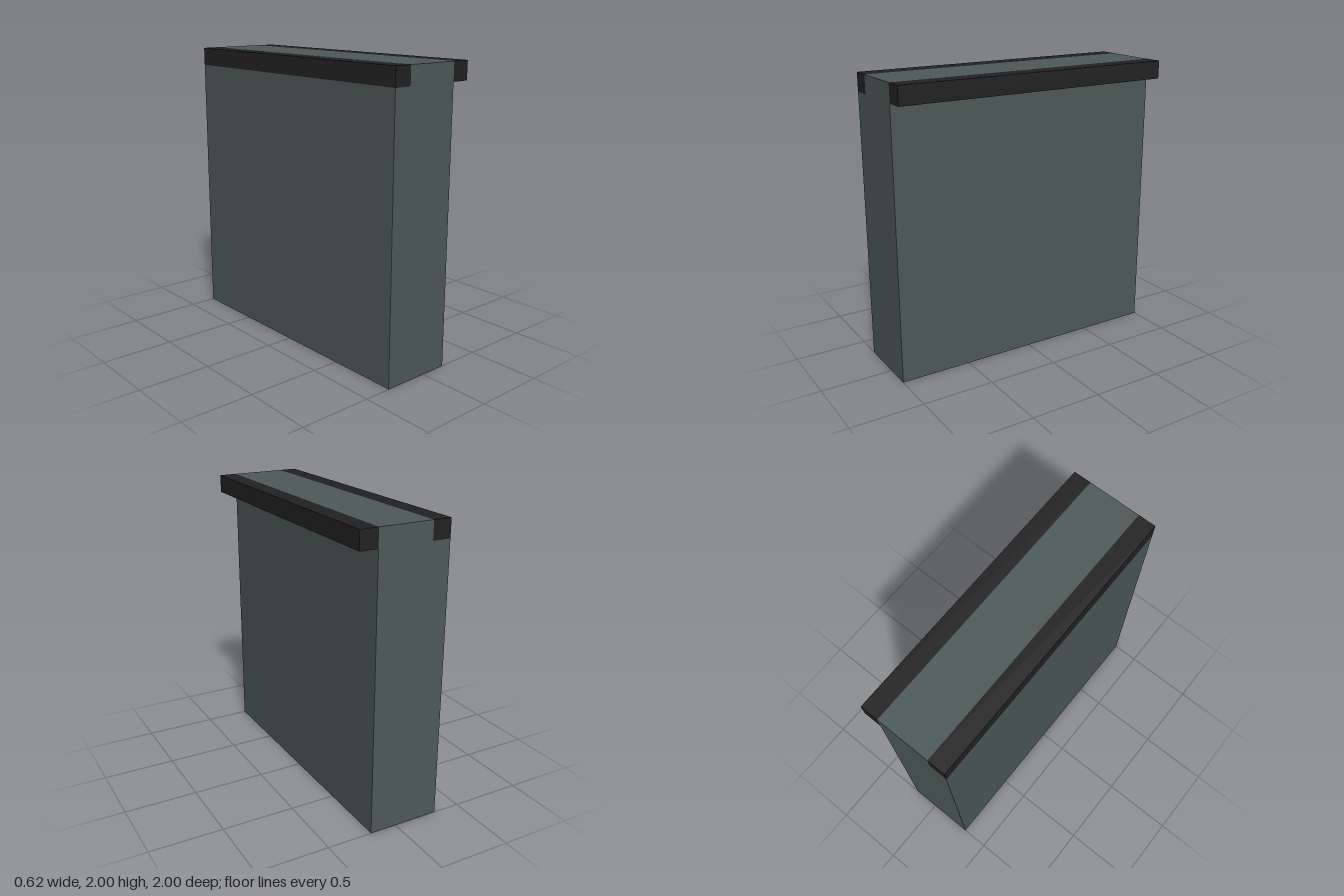
import * as THREE from 'three';

export function createModel() {
  const model = new THREE.Group();
  const slate = new THREE.MeshStandardMaterial({ color: 0x4d5a59 });
  slate.name = 'slate';
  const black = new THREE.MeshStandardMaterial({ color: 0x222222 });
  black.name = 'black';

  const W = 0.3125, STEP = 0.1875, TRIM = 0.125, H = 2, DEPTH = 2;

  // Upright slab, notched along its right top edge to take a trim strip
  const profile = new THREE.Shape([
    [-W, 0], [STEP, 0], [STEP, H], [-STEP, H], [-STEP, H - TRIM], [-W, H - TRIM],
  ].map(([x, y]) => new THREE.Vector2(x, y)));
  const slabGeometry = new THREE.ExtrudeGeometry(profile, { depth: DEPTH, bevelEnabled: false });
  slabGeometry.translate(0, 0, -DEPTH / 2);
  const slab = new THREE.Mesh(slabGeometry, slate);
  slab.name = 'slab';
  model.add(slab);

  // Square trim strips: one inset flush in the notch, one overhanging
  const stripGeometry = new THREE.BoxGeometry(TRIM, TRIM, DEPTH);
  for (const [name, side] of [['insetTrim', -1], ['overhangingTrim', 1]]) {
    const strip = new THREE.Mesh(stripGeometry, black);
    strip.name = name;
    strip.position.set(side * (STEP + TRIM / 2), H - TRIM / 2, 0);
    model.add(strip);
  }

  return model;
}
